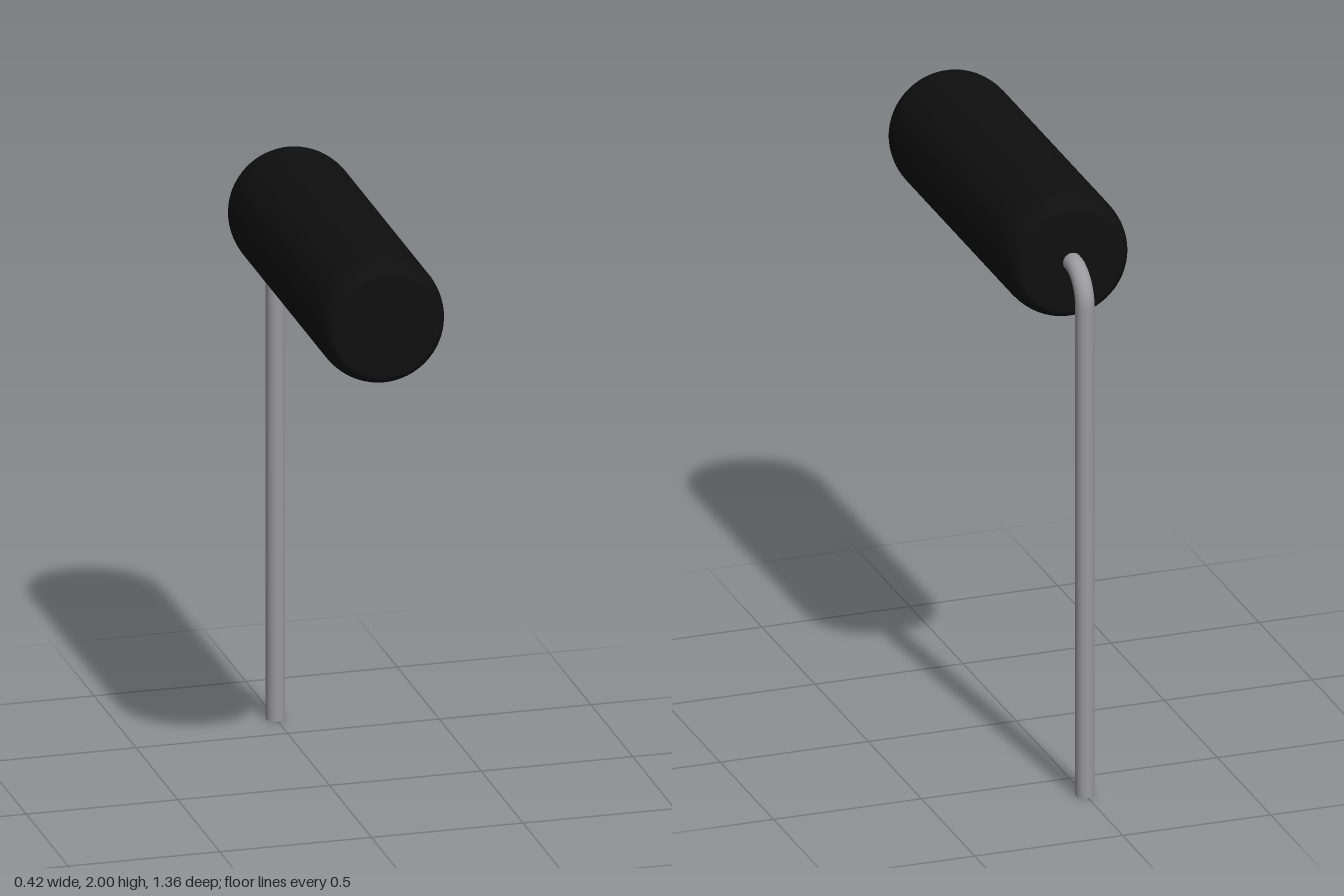
import * as THREE from 'three';

const AXIS_Y = 1.79;

export function createModel() {
  const group = new THREE.Group();
  const foam = new THREE.MeshStandardMaterial({ color: 0x0f0f0f });
  foam.name = 'black foam';
  const steel = new THREE.MeshStandardMaterial({ color: 0x99999e });
  steel.name = 'grey steel';

  const add = (name, geometry, material) => {
    const mesh = new THREE.Mesh(geometry, material);
    mesh.name = name;
    group.add(mesh);
    return mesh;
  };

  // Roller: lathe profile with elliptically rounded rims, axis along z
  const zBack = -0.525, zFront = 0.68, radius = 0.21, rimR = 0.04, rimZ = 0.11;
  const profile = [new THREE.Vector2(0, zBack)];
  const rim = (z, dir, t) => new THREE.Vector2(
    radius - rimR + rimR * Math.cos(t), z + dir * rimZ * Math.sin(t));
  const steps = 8;
  for (let i = steps; i >= 0; i--) profile.push(rim(zBack + rimZ, -1, i / steps * Math.PI / 2));
  for (let i = 0; i <= steps; i++) profile.push(rim(zFront - rimZ, 1, i / steps * Math.PI / 2));
  profile.push(new THREE.Vector2(0, zFront));
  const roller = add('roller', new THREE.LatheGeometry(profile, 64).rotateX(Math.PI / 2), foam);
  roller.position.y = AXIS_Y;

  // Handle rod: vertical shaft, quarter bend, short run into the roller
  const rodZ = -0.645, rodR = 0.031, bend = 0.11;
  const shaftTop = AXIS_Y - bend;
  const shaft = add('handleShaft', new THREE.CylinderGeometry(rodR, rodR, shaftTop, 24), steel);
  shaft.position.set(0, shaftTop / 2, rodZ);

  const elbow = add('handleBend', new THREE.TorusGeometry(bend, rodR, 24, 16, Math.PI / 2), steel);
  elbow.rotation.y = Math.PI / 2;
  elbow.position.set(0, shaftTop, rodZ + bend);
  // the arc's far end must point backwards, away from the roller
  elbow.geometry.rotateY(0);

  const axleLength = 0.06;
  const axle = add('handleAxle', new THREE.CylinderGeometry(rodR, rodR, axleLength, 24), steel);
  axle.rotation.x = Math.PI / 2;
  axle.position.set(0, AXIS_Y, rodZ + bend + axleLength / 2);

  return group;
}
